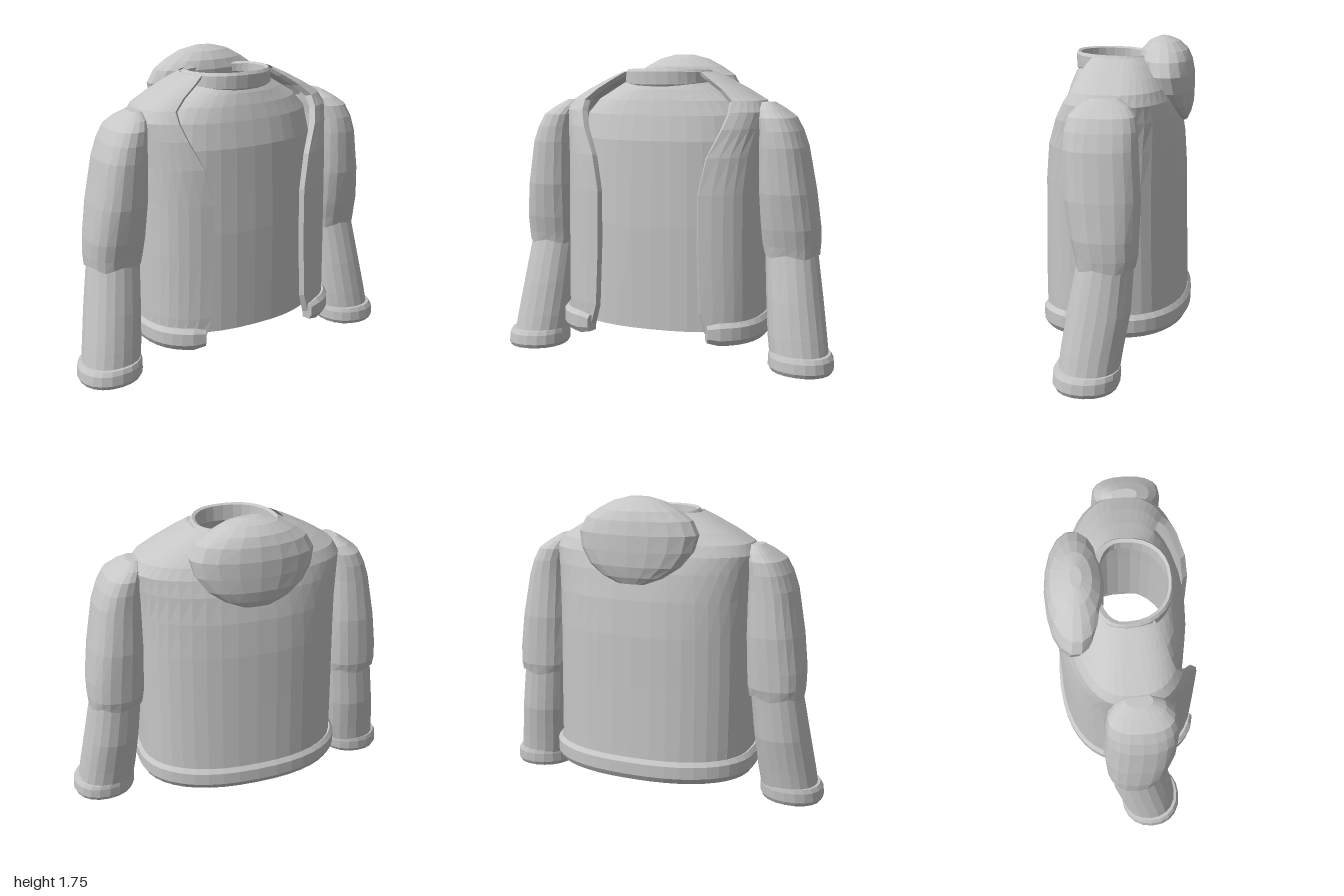
import * as THREE from 'three';

const fabric = new THREE.MeshStandardMaterial({ color: 0xc6c6c6, flatShading: true, side: THREE.DoubleSide });
fabric.name = 'grey fabric';

const V = (x, y, z) => new THREE.Vector3(x, y, z);

// Point on a rounded oval; t = 0 faces front, t = PI / 2 faces +x.
// nf and nb set how square the front and back halves are.
function oval(t, y, rx, zf, zb, nf = 2.3, nb = nf, cx = 0, cz = 0) {
  const s = Math.sin(t), c = Math.cos(t), n = c >= 0 ? nf : nb;
  const bend = v => Math.sign(v) * Math.pow(Math.abs(v), 2 / n);
  return V(cx + rx * bend(s), y, cz + (c >= 0 ? zf : -zb) * bend(c));
}

// Skin over a list of closed rings, optionally capped at either end.
function loft(rings, capStart = false, capEnd = false) {
  const pos = [], n = rings[0].length;
  const tri = (...ps) => ps.forEach(p => pos.push(p.x, p.y, p.z));
  for (let i = 0; i < rings.length - 1; i++) {
    for (let j = 0; j < n; j++) {
      const k = (j + 1) % n;
      const a = rings[i][j], b = rings[i][k], c = rings[i + 1][k], d = rings[i + 1][j];
      tri(a, b, c);
      tri(a, c, d);
    }
  }
  const cap = (ring, flip) => {
    const mid = ring.reduce((m, p) => m.add(p), V(0, 0, 0)).divideScalar(n);
    ring.forEach((p, j) => {
      const q = ring[(j + 1) % n];
      if (flip) tri(mid, q, p); else tri(mid, p, q);
    });
  };
  if (capStart) cap(rings[0], true);
  if (capEnd) cap(rings[rings.length - 1], false);
  const g = new THREE.BufferGeometry();
  g.setAttribute('position', new THREE.Float32BufferAttribute(pos, 3));
  g.computeVertexNormals();
  return g;
}

const ring = (count, fn) => Array.from({ length: count }, (_, i) => fn(i / count * Math.PI * 2));

// Jacket outline: squarer in front than behind, open between x = -edge and edge.
const FRONT = 3.1, BACK = 2.3, STEPS = 36;
function openAngles(edge, rx) {
  const t0 = Math.asin(Math.pow(edge / rx, FRONT / 2));
  return Array.from({ length: STEPS + 1 }, (_, i) => t0 + (Math.PI * 2 - 2 * t0) * i / STEPS);
}

export function createModel() {
  const model = new THREE.Group();
  model.name = 'jacket';
  const add = (name, geometry) => {
    const mesh = new THREE.Mesh(geometry, fabric);
    mesh.name = name;
    model.add(mesh);
  };

  // Shirt: y, half width, front z, back z
  const shirt = [
    [0.22, 0.54, 0.35, -0.325], [0.8, 0.535, 0.35, -0.32], [1.28, 0.52, 0.335, -0.3],
    [1.42, 0.49, 0.305, -0.27], [1.5, 0.42, 0.28, -0.23], [1.56, 0.32, 0.255, -0.19],
    [1.61, 0.235, 0.225, -0.155],
  ];
  add('shirt', loft(shirt.map(r => ring(36, t => oval(t, ...r)))));

  // Collar band around the neck, dipping slightly in front
  const collar = [
    [1.595, 0.215, 0.222, -0.13], [1.582, 0.24, 0.24, -0.165], [1.602, 0.255, 0.252, -0.175],
    [1.65, 0.25, 0.255, -0.175], [1.666, 0.238, 0.245, -0.16], [1.658, 0.22, 0.23, -0.13],
    [1.595, 0.215, 0.222, -0.13],
  ];
  add('collar', loft(collar.map(([y, ...r], i) =>
    ring(28, t => oval(t, y + (i % 6 < 3 ? -0.016 : 0.008) * Math.cos(t), ...r)))));

  // Open jacket shell: y, half width, front z, back z, x of the front edge
  const shell = [
    [0.2, 0.58, 0.42, -0.395, 0.355], [0.35, 0.58, 0.422, -0.392, 0.31], [0.7, 0.578, 0.417, -0.385, 0.295],
    [1.0, 0.575, 0.412, -0.38, 0.295], [1.2, 0.578, 0.398, -0.367, 0.335], [1.35, 0.59, 0.365, -0.343, 0.405],
    [1.44, 0.6, 0.325, -0.315, 0.435], [1.5, 0.565, 0.29, -0.285, 0.435], [1.56, 0.465, 0.26, -0.248, 0.37],
    [1.62, 0.35, 0.22, -0.2, 0.28], [1.656, 0.27, 0.19, -0.16, 0.225],
  ];
  const thick = 0.03;
  add('jacketBody', loft(shell.map(([y, rx, zf, zb, edge]) => {
    const angles = openAngles(edge, rx);
    const outer = angles.map(t => oval(t, y, rx, zf, zb, FRONT, BACK));
    const inner = angles.map(t => oval(t, y - 0.008, rx - thick, zf - thick, zb + thick, FRONT, BACK));
    return [...outer, ...inner.reverse()];
  })));

  // Padded hem band swept along the open bottom edge, rounded at its ends: outward offset, y
  const hemProfile = [
    [-0.035, 0.285], [0.015, 0.3], [0.034, 0.275], [0.034, 0.205], [0.015, 0.172], [-0.035, 0.18],
  ];
  add('hem', loft(openAngles(0.345, 0.58).map((t, i) => {
    const k = i % STEPS ? 1 : 0.75;
    return hemProfile.map(([o, y]) =>
      oval(t, 0.235 + (y - 0.235) * k, 0.576 + o * k, 0.418 + o * k, -0.38 - o * k, FRONT, BACK));
  }), true, true));

  // Hood bundled behind the neck: y, half width, centre z, half depth
  const hood = [
    [1.292, 0.08, -0.36, 0.018], [1.33, 0.18, -0.342, 0.055], [1.39, 0.27, -0.312, 0.1],
    [1.47, 0.33, -0.28, 0.135], [1.56, 0.35, -0.26, 0.155], [1.635, 0.31, -0.25, 0.15],
    [1.685, 0.235, -0.247, 0.13], [1.73, 0.15, -0.243, 0.085], [1.753, 0.06, -0.24, 0.03],
  ];
  add('hood', loft(hood.map(([y, rx, cz, rz]) =>
    ring(18, t => oval(t, y, rx, rz, -rz, 2, 2, 0, cz))), true, true));

  // Sleeves: y, centre x, half width, centre z, half depth
  const upper = [
    [0.645, 0.732, 0.154, 0.022, 0.154], [0.7, 0.729, 0.161, 0.02, 0.166], [0.8, 0.724, 0.165, 0.03, 0.18],
    [1.0, 0.707, 0.156, 0.043, 0.2], [1.25, 0.684, 0.132, 0.055, 0.196], [1.34, 0.668, 0.115, 0.053, 0.19],
    [1.41, 0.645, 0.1, 0.05, 0.175], [1.455, 0.612, 0.07, 0.045, 0.135], [1.492, 0.588, 0.035, 0.042, 0.07],
  ];
  const lower = [
    [0.06, 0.805, 0.165, 0.112, 0.163], [0.2, 0.785, 0.165, 0.092, 0.165],
    [0.4, 0.76, 0.158, 0.058, 0.168], [0.66, 0.73, 0.147, 0.025, 0.15],
  ];
  const cuff = [
    [0.07, 0.81, 0.15, 0.118, 0.15], [0.015, 0.815, 0.158, 0.12, 0.155], [0.007, 0.815, 0.172, 0.12, 0.168],
    [0.03, 0.815, 0.184, 0.12, 0.18], [0.085, 0.812, 0.182, 0.116, 0.18], [0.11, 0.807, 0.172, 0.112, 0.172],
    [0.112, 0.803, 0.158, 0.11, 0.158],
  ];
  for (const [side, s] of [['left', 1], ['right', -1]]) {
    // lift(i, t) shifts ring points up or down
    const tube = (rows, n, lift) => rows.map(([y, cx, rx, cz, rz], i) =>
      ring(20, t => oval(t, y + lift(i, t), rx, rz, -rz, n, n, cx * s, cz)));
    add(side + 'UpperSleeve', loft(tube(upper, 2.4, (i, t) => i ? 0 : 0.012 * Math.cos(5 * t)), false, true));
    add(side + 'LowerSleeve', loft(tube(lower, 2.15, () => 0), true, false));
    add(side + 'Cuff', loft(tube(cuff, 2.15, (i, t) => -0.007 * s * Math.sin(t))));
  }
  return model;
}
